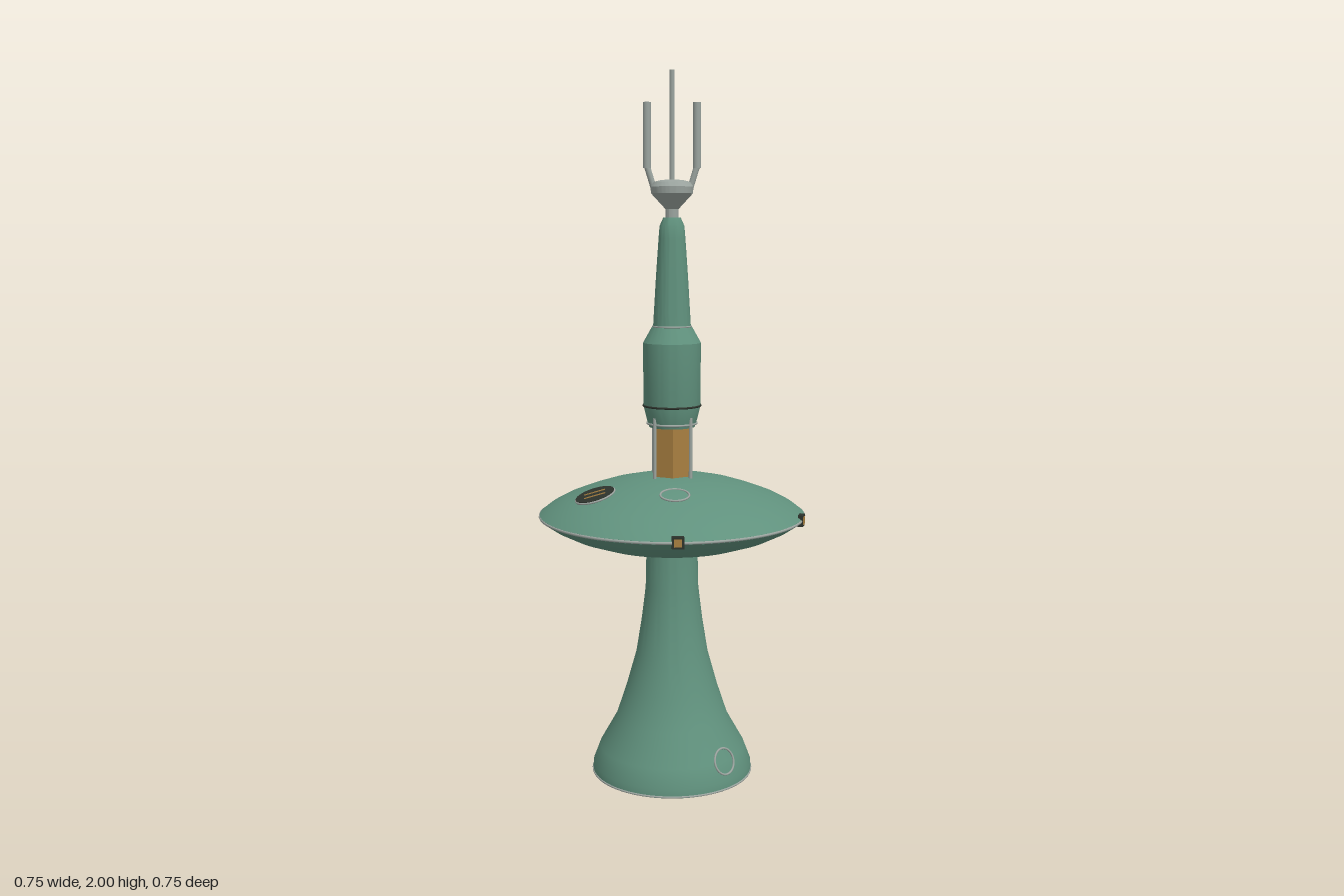
import * as THREE from 'three';
import { toCreasedNormals } from 'three/addons/utils/BufferGeometryUtils.js';

const mat = (name, color, side = THREE.FrontSide) => {
  const m = new THREE.MeshStandardMaterial({ color, side });
  m.name = name;
  return m;
};

export function createModel() {
  const green = mat('sea green paint', 0x60917d);
  const grey = mat('light grey metal', 0x9ba49f);
  const gold = mat('amber', 0xa87f40);
  const dark = mat('dark trim', 0x2d332c);

  const root = new THREE.Group();
  root.name = 'tower';
  const add = (name, geo, material, parent = root, x = 0, y = 0, z = 0) => {
    const m = new THREE.Mesh(geo, material);
    m.name = name;
    m.position.set(x, y, z);
    parent.add(m);
    return m;
  };
  // Turned part from [radius, height] pairs, bottom to top
  const turned = (name, pts, material, seg = 64) => add(name, toCreasedNormals(
    new THREE.LatheGeometry(pts.map(p => new THREE.Vector2(...p)), seg), 0.45), material);
  // Horizontal trim ring
  const band = (name, r, y, tube, material) => add(name,
    new THREE.TorusGeometry(r, tube, 8, 64).rotateX(Math.PI / 2), material, root, 0, y, 0);
  // Round bar between two points
  const bar = (name, a, b, r, material) => {
    const from = new THREE.Vector3(...a), to = new THREE.Vector3(...b);
    const m = add(name, new THREE.CylinderGeometry(r, r, from.distanceTo(to), 14), material);
    m.position.copy(from).lerp(to, 0.5);
    m.quaternion.setFromUnitVectors(new THREE.Vector3(0, 1, 0), to.sub(from).normalize());
    return m;
  };
  // Group on a turned surface with its y axis along the surface normal;
  // angle is measured from +z towards +x
  const mount = (name, profile, y, angle) => {
    const i = profile.findIndex((p, k) => k > 0 && p[1] >= y && p[1] > profile[k - 1][1]);
    const [a, b] = [profile[i - 1], profile[i]];
    const r = a[0] + (b[0] - a[0]) * (y - a[1]) / (b[1] - a[1]);
    const g = new THREE.Group();
    g.name = name;
    g.position.set(r * Math.sin(angle), y, r * Math.cos(angle));
    const n = new THREE.Vector3((b[1] - a[1]) * Math.sin(angle), a[0] - b[0], (b[1] - a[1]) * Math.cos(angle));
    g.quaternion.setFromUnitVectors(new THREE.Vector3(0, 1, 0), n.normalize());
    root.add(g);
    return g;
  };
  const hatchRing = (parent, r) => add('hatchRing',
    new THREE.TorusGeometry(r, 0.003, 8, 40).rotateX(Math.PI / 2), grey, parent);

  // Flared pedestal
  const base = [[0, 0], [0.155, 0], [0.228, 0.03], [0.227, 0.055], [0.208, 0.105], [0.16, 0.19],
    [0.13, 0.28], [0.102, 0.38], [0.086, 0.48], [0.075, 0.57], [0.072, 0.7], [0, 0.7]];
  turned('pedestal', base, green);
  band('pedestalTrim', 0.2275, 0.033, 0.003, grey);
  hatchRing(mount('pedestalHatch', base, 0.105, Math.PI * 0.235), 0.036);

  // Saucer deck
  const saucer = [[0, 0.69], [0.15, 0.69], [0.22, 0.706], [0.29, 0.73], [0.34, 0.755], [0.372, 0.777],
    [0.372, 0.785], [0.345, 0.806], [0.3, 0.83], [0.24, 0.853], [0.187, 0.87], [0.12, 0.885], [0.07, 0.891], [0, 0.892]];
  turned('saucer', saucer, green, 96);
  band('saucerRim', 0.3715, 0.781, 0.004, grey);

  // Vented hatch and plain hatch on the deck
  const vent = mount('ventHatch', saucer, 0.854, -1.136);
  add('ventPlate', new THREE.CylinderGeometry(0.055, 0.055, 0.008, 40), dark, vent);
  hatchRing(vent, 0.055);
  for (const z of [-0.015, 0.015])
    add('ventSlat', new THREE.BoxGeometry(0.06, 0.004, 0.004), gold, vent, 0, 0.004, z);
  hatchRing(mount('deckHatch', saucer, 0.8705, 0), 0.039);

  // Rim lamps
  for (const angle of [0, 1.27]) {
    const lamp = new THREE.Group();
    lamp.name = 'rimLamp';
    lamp.rotation.y = angle;
    root.add(lamp);
    add('lampHousing', new THREE.BoxGeometry(0.032, 0.032, 0.014), dark, lamp, 0, 0.782, 0.369);
    add('lampLens', new THREE.BoxGeometry(0.021, 0.021, 0.003), gold, lamp, 0, 0.782, 0.3765);
  }

  // Six-sided amber core with four struts
  add('core', new THREE.CylinderGeometry(0.053, 0.053, 0.17, 6).toNonIndexed(), gold, root, 0, 0.96, 0)
    .geometry.computeVertexNormals();
  for (let i = 0; i < 4; i++) {
    const a = Math.PI / 4 + i * Math.PI / 2, x = 0.07 * Math.cos(a), z = 0.07 * Math.sin(a);
    bar('strut', [x, 0.88, z], [x, 1.06, z], 0.005, grey);
  }

  // Upper body and tapering spire
  turned('upperBody', [[0, 1.03], [0.064, 1.03], [0.07, 1.05], [0.08, 1.09], [0.08, 1.265], [0.056, 1.308], [0, 1.31]], green);
  band('lowerTrim', 0.069, 1.04, 0.003, grey);
  band('bodySeam', 0.0795, 1.09, 0.003, dark);
  turned('spire', [[0, 1.3], [0.053, 1.3], [0.05, 1.35], [0.044, 1.45], [0.037, 1.55], [0.034, 1.585], [0.024, 1.607], [0, 1.61]], green);
  band('spireTrim', 0.053, 1.31, 0.0025, grey);

  // Antenna head: stem, cup, centre mast and two side prongs
  turned('antennaCup', [[0, 1.6], [0.018, 1.6], [0.018, 1.63], [0.057, 1.672], [0.059, 1.69],
    [0.05, 1.703], [0.03, 1.708], [0, 1.71]], grey);
  bar('centreMast', [0, 1.7, 0], [0, 2, 0], 0.0075, grey);
  for (const s of [-1, 1]) {
    bar('prongArm', [s * 0.045, 1.67, 0], [s * 0.068, 1.745, 0], 0.0085, grey);
    bar('prong', [s * 0.068, 1.74, 0], [s * 0.068, 1.915, 0], 0.011, grey);
  }
  return root;
}
